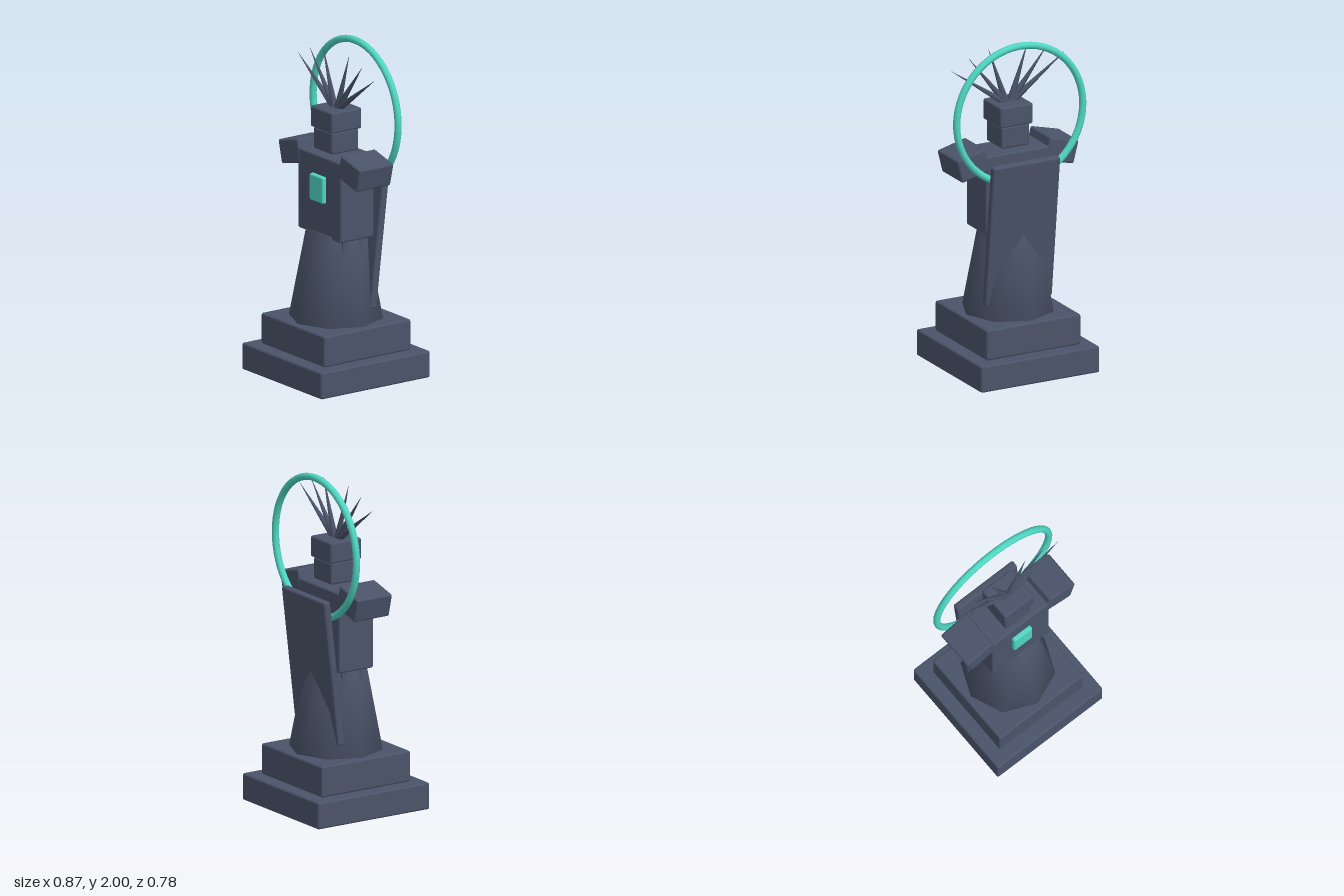
import * as THREE from 'three';
import { mergeVertices } from 'three/addons/utils/BufferGeometryUtils.js';
import { RoundedBoxGeometry } from 'three/addons/geometries/RoundedBoxGeometry.js';

export function createModel() {
  const model = new THREE.Group();
  const stone = new THREE.MeshStandardMaterial({ color: 0x4a5369 });
  stone.name = 'slate stone';
  const teal = new THREE.MeshStandardMaterial({ color: 0x4fd6c2 });
  teal.name = 'teal glow';

  const add = (name, geometry, material, x, y, z) => {
    const mesh = new THREE.Mesh(geometry, material);
    mesh.name = name;
    mesh.position.set(x, y, z);
    model.add(mesh);
    return mesh;
  };
  // Soft-edged box given by its size and centre
  const block = (name, w, h, d, x, y, z, material = stone) =>
    add(name, new RoundedBoxGeometry(w, h, d, 2, 0.012), material, x, y, z);

  // Stepped plinth
  block('lowerPlinth', 0.78, 0.16, 0.78, 0, 0.08, 0);
  block('upperPlinth', 0.62, 0.185, 0.62, 0, 0.2525, 0);

  // Eight-sided robe, smoothed across its edges
  let robe = new THREE.CylinderGeometry(0.175, 0.275, 0.525, 8);
  robe.deleteAttribute('normal');
  robe.deleteAttribute('uv');
  robe = mergeVertices(robe);
  robe.computeVertexNormals();
  add('robe', robe, stone, 0, 0.6075, 0);

  // Hips, whose corners just break through the robe
  add('hips', new THREE.BoxGeometry(0.334, 0.3, 0.142), stone, 0, 0.74, 0);

  // Torso, chest gem, head and hat
  block('torso', 0.42, 0.48, 0.24, 0, 1.09, 0);
  block('chestGem', 0.135, 0.16, 0.04, 0, 1.135, 0.125, teal);
  block('head', 0.185, 0.13, 0.19, 0, 1.415, 0);
  block('hat', 0.215, 0.125, 0.215, 0, 1.543, 0);

  // Drooping shoulder blocks
  for (const s of [-1, 1]) {
    const shoulder = block(s > 0 ? 'leftShoulder' : 'rightShoulder', 0.195, 0.143, 0.245, s * 0.29, 1.288, 0);
    shoulder.rotation.z = -s * 0.25;
  }

  // Cape slab leaning back at the top
  const cape = block('cape', 0.44, 0.88, 0.046, 0, 0.858, -0.16);
  cape.rotation.x = -0.116;

  // Fan of crown spikes
  const up = new THREE.Vector3(0, 1, 0);
  for (const s of [-1, 1]) {
    for (const [x, y] of [[0.13, 1.945], [0.262, 1.908], [0.38, 1.85]]) {
      const base = new THREE.Vector3(s * 0.012, 1.59, 0);
      const tip = new THREE.Vector3(s * x, y, 0);
      const axis = tip.clone().sub(base);
      const mid = base.clone().add(tip).multiplyScalar(0.5);
      const spike = add('crownSpike', new THREE.ConeGeometry(0.023, axis.length(), 6), stone, mid.x, mid.y, 0);
      spike.quaternion.setFromUnitVectors(up, axis.normalize());
    }
  }

  // Halo ring behind the head
  add('halo', new THREE.TorusGeometry(0.415, 0.021, 12, 64), teal, 0, 1.564, -0.14);

  return model;
}
